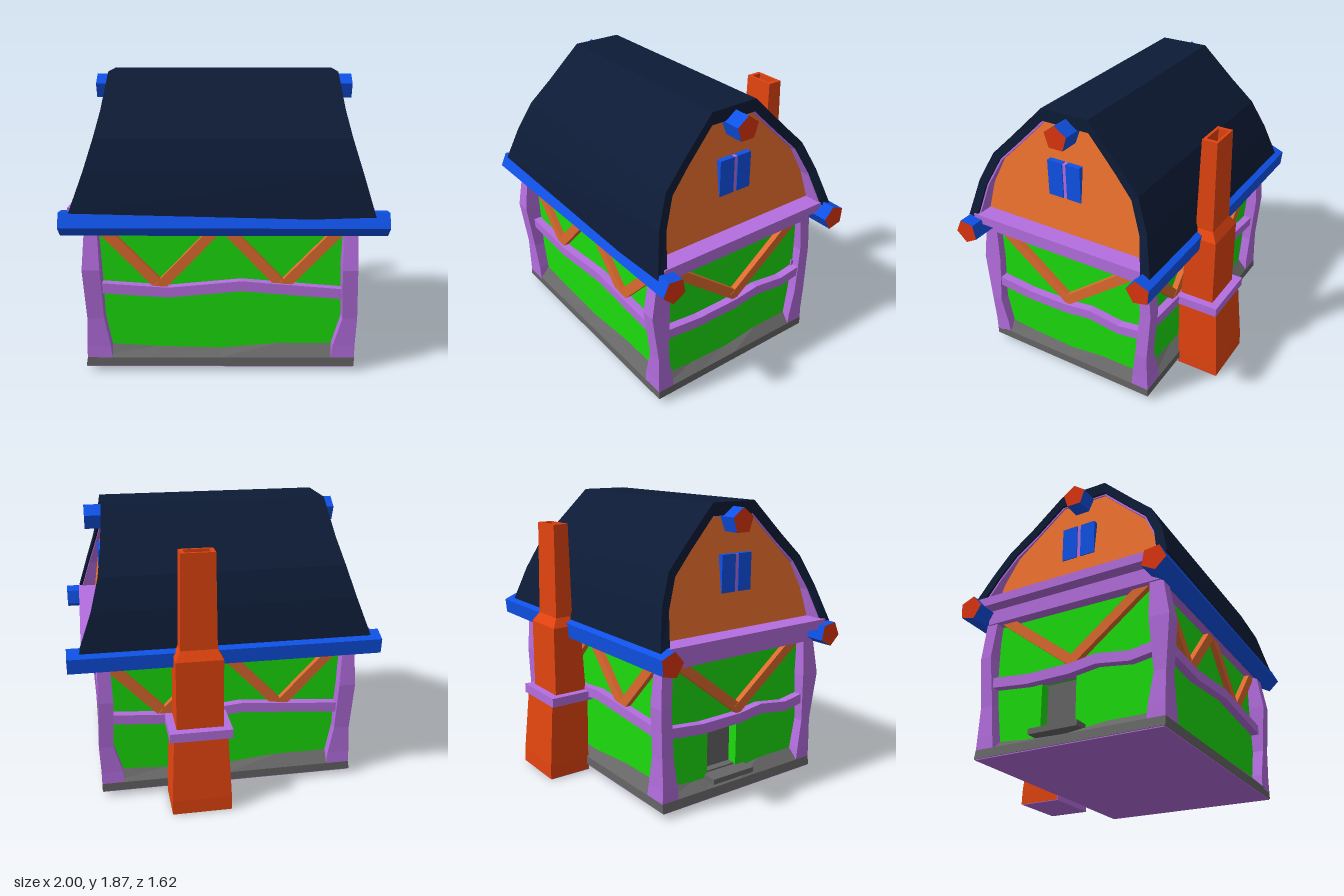
import * as THREE from 'three';

const mat = (color) => new THREE.MeshStandardMaterial({ color, flatShading: true });
const M = {
  roof: mat(0x0d1b36), beam: mat(0x0f52e8), cap: mat(0xdd350f), wall: mat(0x1cdd0e),
  timber: mat(0xb56ee0), gable: mat(0xee712e), brace: mat(0xdd6a2e), brick: mat(0xe2440f), stone: mat(0x666666),
};

// Solid through rings of points; rings run counter-clockwise seen from the end
function loft(rings, capStart = true, capEnd = true) {
  const pos = [], n = rings[0].length;
  const tri = (a, b, c) => pos.push(...a, ...b, ...c);
  for (let i = 0; i < rings.length - 1; i++) {
    for (let j = 0; j < n; j++) {
      const k = (j + 1) % n, p = rings[i], q = rings[i + 1];
      tri(p[j], p[k], q[k]);
      tri(p[j], q[k], q[j]);
    }
  }
  const first = rings[0], last = rings[rings.length - 1];
  for (let j = 1; j < n - 1; j++) {
    if (capStart) tri(first[0], first[j + 1], first[j]);
    if (capEnd) tri(last[0], last[j], last[j + 1]);
  }
  const g = new THREE.BufferGeometry();
  g.setAttribute('position', new THREE.Float32BufferAttribute(pos, 3));
  g.computeVertexNormals();
  return g;
}

// Horizontal rectangle ring
const rect = (y, x0, x1, z0, z1) => [[x0, y, z1], [x1, y, z1], [x1, y, z0], [x0, y, z0]];

function add(parent, name, geometry, material) {
  const m = new THREE.Mesh(geometry, material);
  m.name = name;
  parent.add(m);
  return m;
}

function block(parent, name, material, x0, x1, y0, y1, z0, z1) {
  const g = new THREE.BoxGeometry(x1 - x0, y1 - y0, z1 - z0);
  return add(parent, name, g.translate((x0 + x1) / 2, (y0 + y1) / 2, (z0 + z1) / 2), material);
}

// Timber dressing of one wall, whose face lies at local z = 0
function facade(parent, name, path, apexes, spread, position, turn) {
  const g = new THREE.Group();
  g.name = name;
  g.position.set(...position);
  g.rotation.y = turn;
  const h = 0.033, front = 0.055, back = -0.02;
  add(g, 'middleRail', loft(path.map(([u, y]) => [
    [u, y - h, front], [u, y - h, back], [u, y + h, back], [u, y + h, front]])), M.timber);
  for (const u of apexes) for (const s of [-1, 1]) {
    const rise = 0.39, run = s * spread;
    const strut = add(g, 'brace', new THREE.BoxGeometry(Math.hypot(rise, run) + 0.04, 0.065, 0.055), M.brace);
    strut.position.set(u + run / 2, 0.57 + rise / 2, 0.01 + s * 0.001);
    strut.rotation.z = Math.atan2(rise, run);
  }
  parent.add(g);
}

// Five-sided log along x with coloured ends
function log(parent, name, length, r, y, z, start) {
  const g = new THREE.CylinderGeometry(r, r, length, 5, 1, false, start * Math.PI / 180).rotateZ(Math.PI / 2);
  add(parent, name, g, [M.beam, M.cap, M.cap]).position.set(0, y, z);
}

export function createModel() {
  const house = new THREE.Group();
  house.name = 'cottage';

  // Foundation skirt, sloping up to a wavy upper edge
  const wave = [0.175, 0.15, 0.14, 0.175];
  const perimeter = (x0, x1, z0, z1, y) => {
    const c = [[x0, z1], [x1, z1], [x1, z0], [x0, z0]], pts = [];
    for (let i = 0; i < 4; i++) for (let k = 0; k < 4; k++) {
      const a = c[i], b = c[(i + 1) % 4], t = k / 4;
      pts.push([a[0] + (b[0] - a[0]) * t, y ?? wave[k], a[1] + (b[1] - a[1]) * t]);
    }
    return pts;
  };
  add(house, 'foundation', loft([
    perimeter(-0.88, 0.83, -0.525, 0.725, 0.042),
    perimeter(-0.87, 0.83, -0.525, 0.725, 0.1),
    perimeter(-0.78, 0.76, -0.45, 0.65),
  ]), M.stone);
  block(house, 'floor', M.timber, -0.875, 0.825, 0.036, 0.06, -0.52, 0.72);

  // Walls, with a recessed doorway on the right-hand side
  block(house, 'walls', M.wall, -0.72, 0.77, 0.1, 1.04, -0.455, 0.655);
  const side = new THREE.Shape([[-0.455, 0.1], [0.655, 0.1], [0.655, 1.04], [-0.455, 1.04]].map(p => new THREE.Vector2(...p)));
  side.holes.push(new THREE.Path([[-0.12, 0.16], [-0.12, 0.49], [0.12, 0.49], [0.12, 0.16]].map(p => new THREE.Vector2(...p))));
  const sideGeo = new THREE.ExtrudeGeometry(side, { depth: 0.075, bevelEnabled: false });
  add(house, 'doorWall', sideGeo.rotateY(-Math.PI / 2).translate(-0.72, 0, 0), M.wall);
  block(house, 'door', M.stone, -0.728, -0.71, 0.15, 0.5, -0.12, 0.12);
  block(house, 'doorStep', M.stone, -0.89, -0.78, 0.13, 0.165, -0.14, 0.19);

  // Crooked corner posts
  const post = (name, outX, inX, outZ, inZ) => {
    const ys = [0.085, 0.18, 0.37, 0.7, 0.98];
    add(house, name, loft(ys.map((y, i) => rect(y,
      Math.min(outX[i], inX[i]), Math.max(outX[i], inX[i]),
      Math.min(outZ[i], inZ[i]), Math.max(outZ[i], inZ[i])))), M.timber);
  };
  const leftX = [[0.83, 0.83, 0.838, 0.825, 0.82], [0.68, 0.69, 0.745, 0.73, 0.74]];
  const rightX = [[-0.87, -0.87, -0.86, -0.875, -0.855], [-0.71, -0.72, -0.755, -0.765, -0.78]];
  const frontZ = [[0.725, 0.725, 0.73, 0.765, 0.72], [0.61, 0.62, 0.655, 0.635, 0.64]];
  const backZ = [[-0.525, -0.52, -0.52, -0.54, -0.52], [-0.4, -0.41, -0.435, -0.465, -0.44]];
  post('frontLeftPost', ...leftX, ...frontZ);
  post('frontRightPost', ...rightX, ...frontZ);
  post('backLeftPost', ...leftX, ...backZ);
  post('backRightPost', ...rightX, ...backZ);

  // Rails and V braces on all four walls
  const longRail = [[-0.78, 0.565], [-0.35, 0.535], [0.11, 0.578], [0.76, 0.525]];
  const shortRail = [[-0.55, 0.53], [-0.3, 0.505], [0, 0.51], [0.18, 0.535], [0.4, 0.505], [0.56, 0.53]];
  facade(house, 'frontTimbers', longRail, [-0.4, 0.37], 0.37, [0, 0, 0.655], 0);
  facade(house, 'backTimbers', longRail, [-0.4, 0.37], 0.37, [0, 0, -0.455], Math.PI);
  facade(house, 'leftTimbers', shortRail, [0], 0.5, [0.77, 0, 0.1], Math.PI / 2);
  facade(house, 'rightTimbers', shortRail, [0], 0.5, [-0.795, 0, 0.1], -Math.PI / 2);

  // Plate on the walls and wider sill under the gables
  block(house, 'wallPlate', M.timber, -0.87, 0.83, 0.935, 1.032, -0.505, 0.715);
  block(house, 'gableSill', M.timber, -0.95, 0.91, 1.03, 1.09, -0.535, 0.735);

  // Roof profile: offset from the ridge line in z, height, half width, for outer and inner skins
  const ridge = 0.1;
  const outer = [[0.69, 1.07, 0.93], [0.62, 1.31, 0.845], [0.53, 1.5, 0.79], [0.38, 1.65, 0.762], [0.165, 1.868, 0.737]];
  const inner = [[0.625, 1.07, 0.925], [0.57, 1.285, 0.845], [0.485, 1.465, 0.79], [0.355, 1.595, 0.762], [0.165, 1.787, 0.737]];
  const span = (half) => [
    ...half.map(([d, y, w]) => [ridge + d, y, w]),
    ...half.slice().reverse().map(([d, y, w]) => [ridge - d, y, w])];
  const shell = (a, b, trim) => loft(a.map(([z, y, w], i) => {
    const [z2, y2] = b[i], dip = i === 0 ? 0.045 : 0, l = -w - 0.005 + trim, r = w - 0.008 - trim;
    return [[l, y, z], [r, y - dip, z], [r, y2 - dip, z2], [l, y2, z2]];
  }));
  add(house, 'roof', shell(span(outer), span(inner), 0), M.roof);
  const lining = inner.map(([d, y, w]) => [d - 0.008, y - 0.008, w]);
  add(house, 'roofLining', shell(span(inner), span(lining), 0.015), M.timber);

  // Attic with gables that lean inwards
  const attic = span(inner).map(([z, y]) => [z, y - 0.005]).reverse();
  const lean = (y) => 0.8 - (y - 1.07) * 0.13;
  add(house, 'atticGables', loft([-1, 1].map(s => attic.map(([z, y]) => [s * lean(y) - 0.01, y, z]))), M.gable);

  // Gable windows
  for (const s of [-1, 1]) {
    const w = new THREE.Group();
    w.name = s > 0 ? 'leftWindow' : 'rightWindow';
    block(w, 'windowFrame', M.timber, -0.05, 0.022, 1.325, 1.552, -0.012, 0.218);
    block(w, 'windowPane', M.beam, -0.04, 0.028, 1.32, 1.556, 0.113, 0.22);
    block(w, 'windowPane', M.beam, -0.04, 0.028, 1.32, 1.556, -0.015, 0.087);
    w.position.x = s * 0.745 - 0.01;
    w.rotation.y = s > 0 ? 0 : Math.PI;
    if (s < 0) w.position.z = 0.2;
    house.add(w);
  }

  // Eave and ridge logs
  log(house, 'frontEaveLog', 2, 0.083, 1.0, 0.732, 61);
  log(house, 'backEaveLog', 2, 0.083, 1.01, -0.557, 77);
  log(house, 'ridgeLog', 1.68, 0.083, 1.757, 0.09, 90);

  // Chimney with a hollow stack
  add(house, 'chimneyBase', loft([
    rect(0.004, 0.01, 0.395, -0.808, -0.515), rect(0.1, 0.01, 0.395, -0.805, -0.515),
    rect(0.52, 0.03, 0.375, -0.77, -0.5)]), M.brick);
  block(house, 'chimneyFoot', M.timber, 0.012, 0.393, 0, 0.042, -0.8, -0.512);
  block(house, 'chimneyBand', M.timber, 0.0, 0.402, 0.512, 0.573, -0.782, -0.48);
  add(house, 'chimneyStack', loft([
    rect(0.56, 0.052, 0.352, -0.73, -0.5), rect(1.03, 0.052, 0.352, -0.73, -0.53),
    rect(1.09, 0.085, 0.318, -0.692, -0.572), rect(1.7, 0.095, 0.308, -0.684, -0.582),
    rect(1.7, 0.122, 0.282, -0.668, -0.6), rect(1.6, 0.122, 0.282, -0.668, -0.6)], true, false), M.brick);
  block(house, 'flueFloor', M.timber, 0.12, 0.284, 1.58, 1.602, -0.67, -0.598);

  return house;
}
